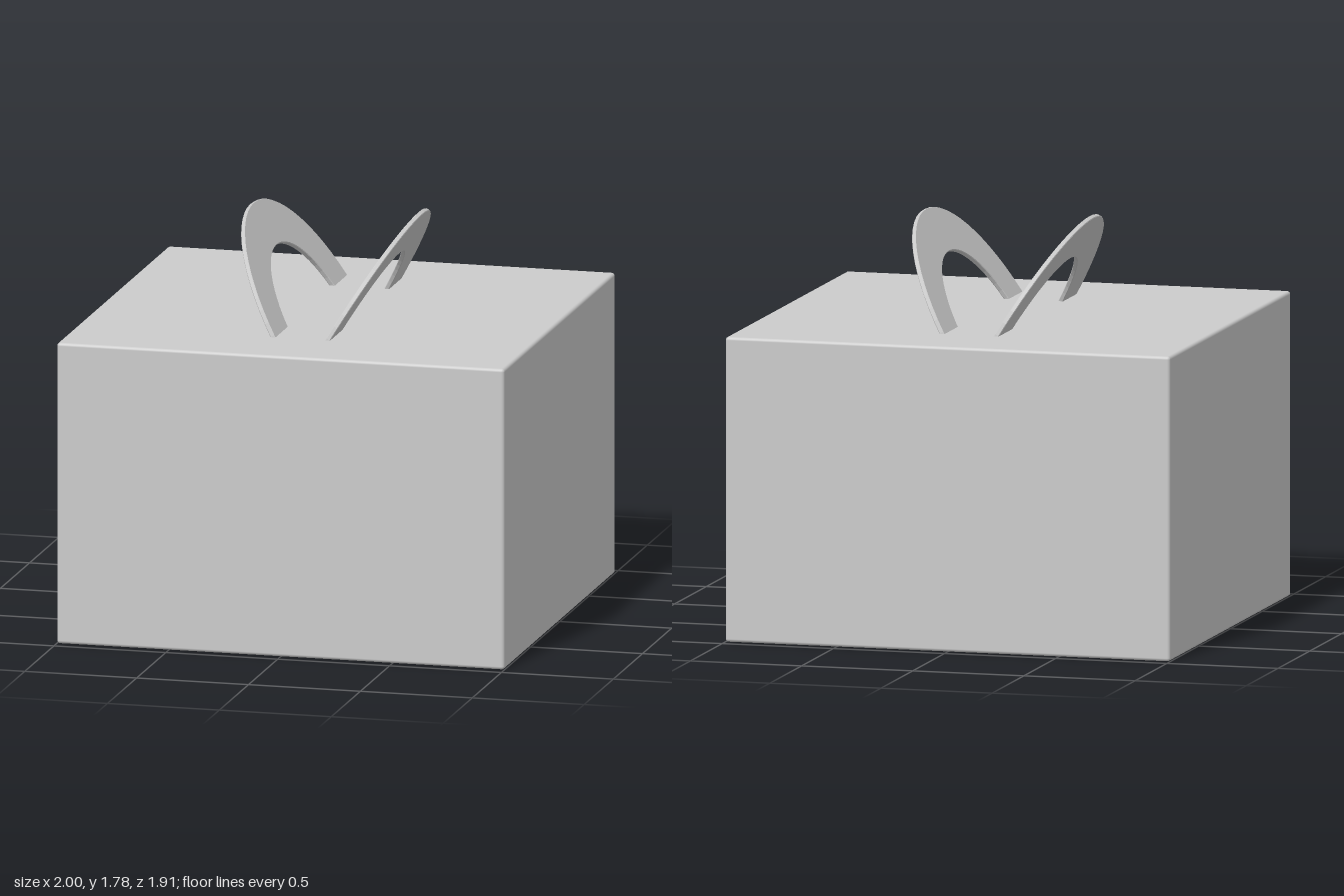
import * as THREE from 'three';
import { RoundedBoxGeometry } from 'three/addons/geometries/RoundedBoxGeometry.js';

const material = new THREE.MeshStandardMaterial({ color: 0xcccccc });
const HEIGHT = 1.335;
const TILT = Math.PI / 6;

// Half ring with a fine bevel, centred on its thickness
function handleGeometry(outer, inner, thickness) {
  const bevel = 0.003;
  const shape = new THREE.Shape();
  shape.absarc(0, 0, outer - bevel, 0, Math.PI, false);
  shape.absarc(0, 0, inner + bevel, Math.PI, 0, true);
  shape.closePath();
  const depth = thickness - 2 * bevel;
  const geometry = new THREE.ExtrudeGeometry(shape, {
    depth, curveSegments: 16,
    bevelEnabled: true, bevelSize: bevel, bevelThickness: bevel, bevelSegments: 1,
  });
  return geometry.translate(0, 0, -depth / 2);
}

export function createModel() {
  const model = new THREE.Group();

  // Closed box with slightly softened edges
  const box = new THREE.Mesh(new RoundedBoxGeometry(2, HEIGHT, 1.91, 3, 0.014), material);
  box.name = 'box';
  box.position.y = HEIGHT / 2;
  model.add(box);

  // Two arched handles leaning outwards, their feet sunk into the lid
  const geometry = handleGeometry(0.626, 0.416, 0.02);
  const sunk = 0.116;
  for (const side of [1, -1]) {
    const handle = new THREE.Group();
    handle.name = side > 0 ? 'leftHandle' : 'rightHandle';
    const arch = new THREE.Mesh(geometry, material);
    arch.name = 'handleArch';
    arch.rotation.y = Math.PI / 2;
    handle.add(arch);
    handle.position.set(
      side * (0.122 - sunk * Math.sin(TILT)), HEIGHT - sunk * Math.cos(TILT), 0);
    handle.rotation.z = -side * TILT;
    model.add(handle);
  }
  return model;
}
